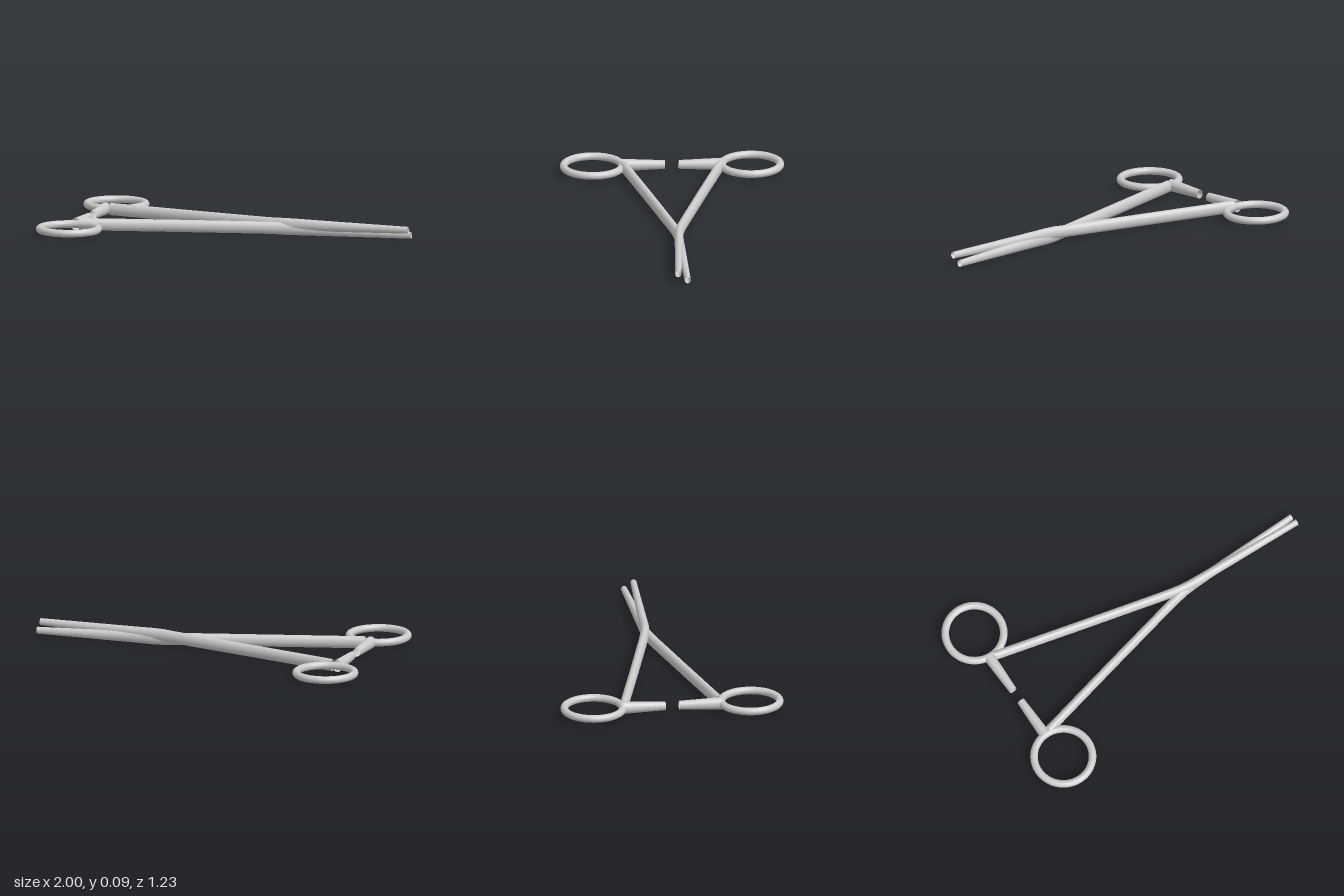
import * as THREE from 'three';

const steel = new THREE.MeshStandardMaterial({ color: 0xcccccc, side: THREE.DoubleSide });

// Open tube lofted along x through elliptical sections [x, y, z, ry, rz]
function loft(sections, sides = 20) {
  const pos = [], index = [];
  sections.forEach(([x, y, z, ry, rz], i) => {
    for (let j = 0; j < sides; j++) {
      const a = (j / sides) * Math.PI * 2;
      pos.push(x, y + ry * Math.cos(a), z + rz * Math.sin(a));
      if (i === sections.length - 1) continue;
      const k = (j + 1) % sides, p = i * sides, q = p + sides;
      index.push(p + j, p + k, q + j, p + k, q + k, q + j);
    }
  });
  const g = new THREE.BufferGeometry();
  g.setAttribute('position', new THREE.Float32BufferAttribute(pos, 3));
  g.setIndex(index);
  g.computeVertexNormals();
  return g;
}

function part(name, geometry, parent) {
  const mesh = new THREE.Mesh(geometry, steel);
  mesh.name = name;
  parent.add(mesh);
  return mesh;
}

// One half of the forceps, centred on its own y = 0
function createHalf(name) {
  const half = new THREE.Group();
  half.name = name;

  // Shank that bends at the joint and runs on as the tapering jaw
  part('shankAndJaw', loft([
    [-0.8, 0, -0.263, 0.034, 0.025],
    [-0.3, 0.004, -0.14, 0.034, 0.025],
    [0.14, 0.008, -0.034, 0.034, 0.025],
    [0.22, 0.009, -0.016, 0.034, 0.025],
    [0.28, 0.011, -0.005, 0.035, 0.025],
    [0.34, 0.012, 0, 0.034, 0.025],
    [0.46, 0.013, 0.004, 0.031, 0.024],
    [1, 0.018, 0.026, 0.019, 0.017],
  ]), half);

  // Finger ring
  const ring = part('fingerRing', new THREE.TorusGeometry(0.16, 0.021, 16, 56), half);
  ring.rotation.x = Math.PI / 2;
  ring.position.set(-0.818, 0, -0.433);

  // Hollow tapered ratchet arm pointing towards the other half
  const ratchet = new THREE.CylinderGeometry(0.022, 0.031, 0.235, 20, 1, true);
  ratchet.rotateX(Math.PI / 2);
  ratchet.scale(1, 1.1, 1);
  part('ratchetArm', ratchet, half).position.set(-0.83, 0, -0.155);
  return half;
}

export function createModel() {
  const model = new THREE.Group();
  model.name = 'forceps';
  // The two halves are the same piece, turned over about the long axis
  ['upperHalf', 'lowerHalf'].forEach((name, i) => {
    const half = createHalf(name);
    half.rotation.x = i * Math.PI;
    half.position.y = 0.0465;
    model.add(half);
  });
  return model;
}
